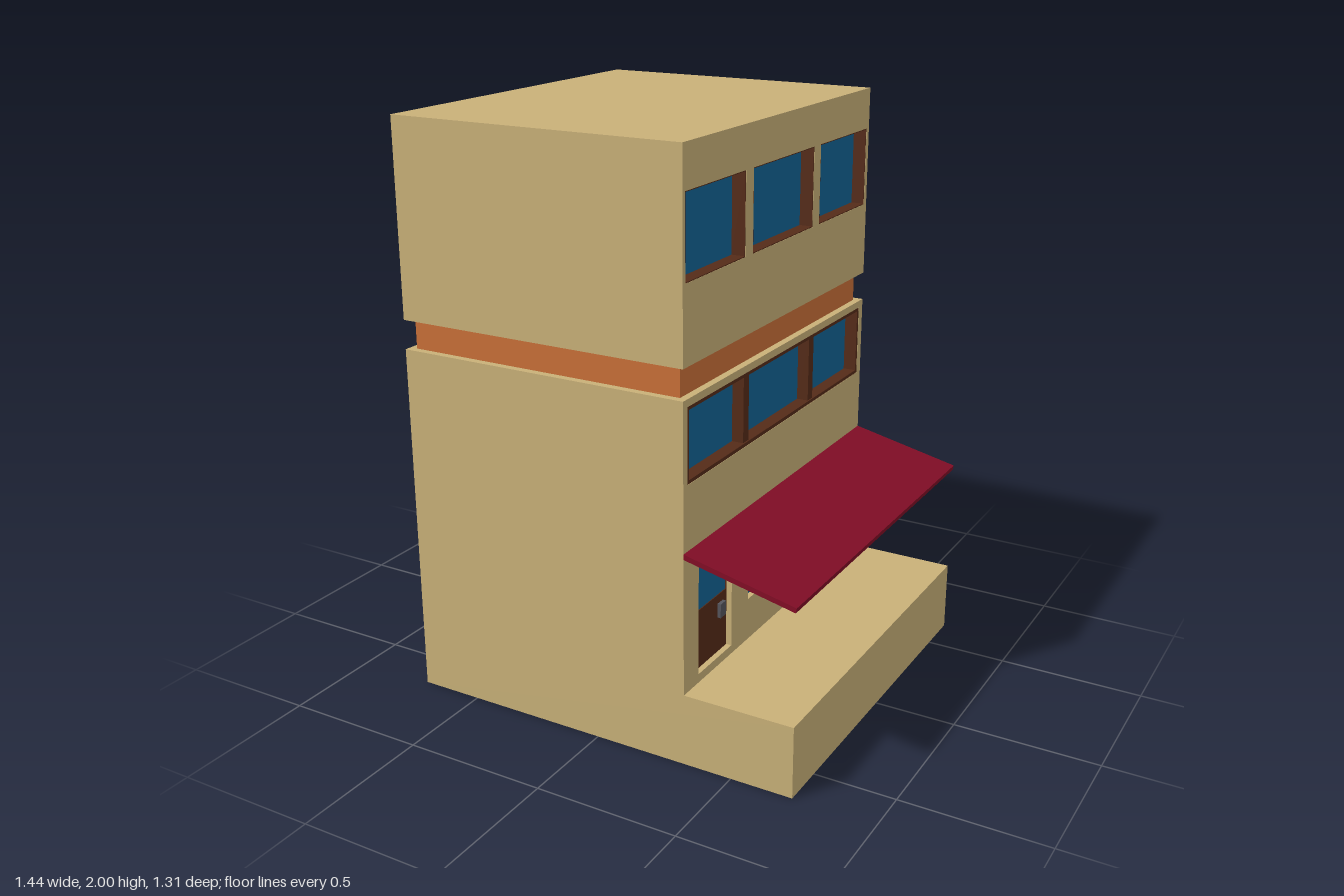
import * as THREE from 'three';

const D = 0.655;           // half depth of the building
const FACE = 0.33;         // facade plane (faces +x)
const CORE = 0.28;         // plane behind the recessed openings

const mat = (color) => new THREE.MeshStandardMaterial({ color });

export function createModel() {
  const group = new THREE.Group();
  const wall = mat(0xc8b078), orange = mat(0xc96f38), brown = mat(0x552b18);
  const glass = mat(0x136394), red = mat(0x820d26), metal = mat(0x55555c);

  const add = (name, geometry, material) => {
    const mesh = new THREE.Mesh(geometry, material);
    mesh.name = name;
    group.add(mesh);
    return mesh;
  };
  // box from its limits
  const box = (name, x0, x1, y0, y1, z0, z1, material) => {
    const g = new THREE.BoxGeometry(x1 - x0, y1 - y0, z1 - z0);
    g.translate((x0 + x1) / 2, (y0 + y1) / 2, (z0 + z1) / 2);
    return add(name, g, material);
  };
  // rectangle in the facade plane; shape x runs along -z
  const rect = ([z0, z1, y0, y1], inset = 0, Type = THREE.Shape) => new Type([
    [-z1 + inset, y0 + inset], [-z0 - inset, y0 + inset],
    [-z0 - inset, y1 - inset], [-z1 + inset, y1 - inset],
  ].map(([x, y]) => new THREE.Vector2(x, y)));
  // slab with openings, extruded along x
  const pierced = (name, outer, holes, x0, x1, material) => {
    outer.holes.push(...holes);
    const g = new THREE.ExtrudeGeometry(outer, { depth: x1 - x0, bevelEnabled: false });
    g.rotateY(Math.PI / 2).translate(x0, 0, 0);
    return add(name, g, material);
  };
  // side profile in x and y, extruded along the full depth
  const profile = (name, points, material) => {
    const s = new THREE.Shape(points.map(([x, y]) => new THREE.Vector2(x, y)));
    const g = new THREE.ExtrudeGeometry(s, { depth: 2 * D, bevelEnabled: false });
    return add(name, g.translate(0, 0, -D), material);
  };

  // openings as [z0, z1, y0, y1]
  const upper = [[0.27, 0.64], [-0.21, 0.22], [-0.635, -0.26]].map(z => [...z, 1.59, 1.86]);
  const middle = [-0.625, 0.63, 0.96, 1.21];
  const lower = [[-0.22, 0.225], [-0.64, -0.255]].map(z => [...z, 0.40, 0.68]);
  const door = [0.34, 0.56, 0.28, 0.68];
  const hole = (o) => rect(o, 0, THREE.Path);

  // main body with the front terrace
  profile('lowerBody', [[-0.72, 0], [0.717, 0], [0.717, 0.25], [CORE, 0.25], [CORE, 1.235], [-0.72, 1.235]], wall);
  pierced('lowerFacade', rect([-D, D, 0.25, 1.235]), [middle, ...lower, door].map(hole), CORE, FACE, wall);

  // recessed band between the storeys
  box('band', -0.693, 0.305, 1.235, 1.335, -0.626, 0.63, orange);

  // top storey
  box('upperBody', -0.72, CORE, 1.335, 2, -D, D, wall);
  pierced('upperFacade', rect([-D, D, 1.335, 2]), upper.map(hole), CORE, FACE, wall);

  // top windows with brown reveals
  for (const o of upper) {
    pierced('upperWindowFrame', rect(o), [rect(o, 0.003, THREE.Path)], CORE, FACE - 0.001, brown);
    box('upperWindowGlass', CORE - 0.01, CORE + 0.003, o[2], o[3], o[0], o[1], glass);
  }

  // long middle window with two mullions
  pierced('middleWindowFrame', rect(middle), [rect(middle, 0.012, THREE.Path)], CORE, FACE - 0.001, brown);
  box('middleWindowGlass', CORE - 0.01, CORE + 0.003, 0.96, 1.21, -0.625, 0.63, glass);
  for (const z of [0.242, -0.237])
    box('mullion', CORE, FACE - 0.006, 0.965, 1.205, z - 0.018, z + 0.018, brown);

  // shop windows
  for (const o of lower)
    box('shopWindowGlass', CORE, FACE - 0.02, o[2], o[3], o[0], o[1], glass);

  // door with glazed top and handle plate
  box('doorPanel', CORE, FACE - 0.02, 0.28, 0.485, 0.34, 0.56, brown);
  pierced('doorFrame', rect([0.34, 0.56, 0.485, 0.68]),
    [rect([0.344, 0.556, 0.486, 0.676], 0, THREE.Path)], CORE, FACE - 0.02, brown);
  box('doorGlass', CORE, FACE - 0.023, 0.485, 0.68, 0.34, 0.56, glass);
  box('doorHandle', FACE - 0.025, FACE - 0.008, 0.405, 0.455, 0.365, 0.4, metal);

  // sloping awning
  profile('awning', [[FACE, 0.722], [0.714, 0.638], [0.717, 0.655], [FACE, 0.74]], red);

  return group;
}
